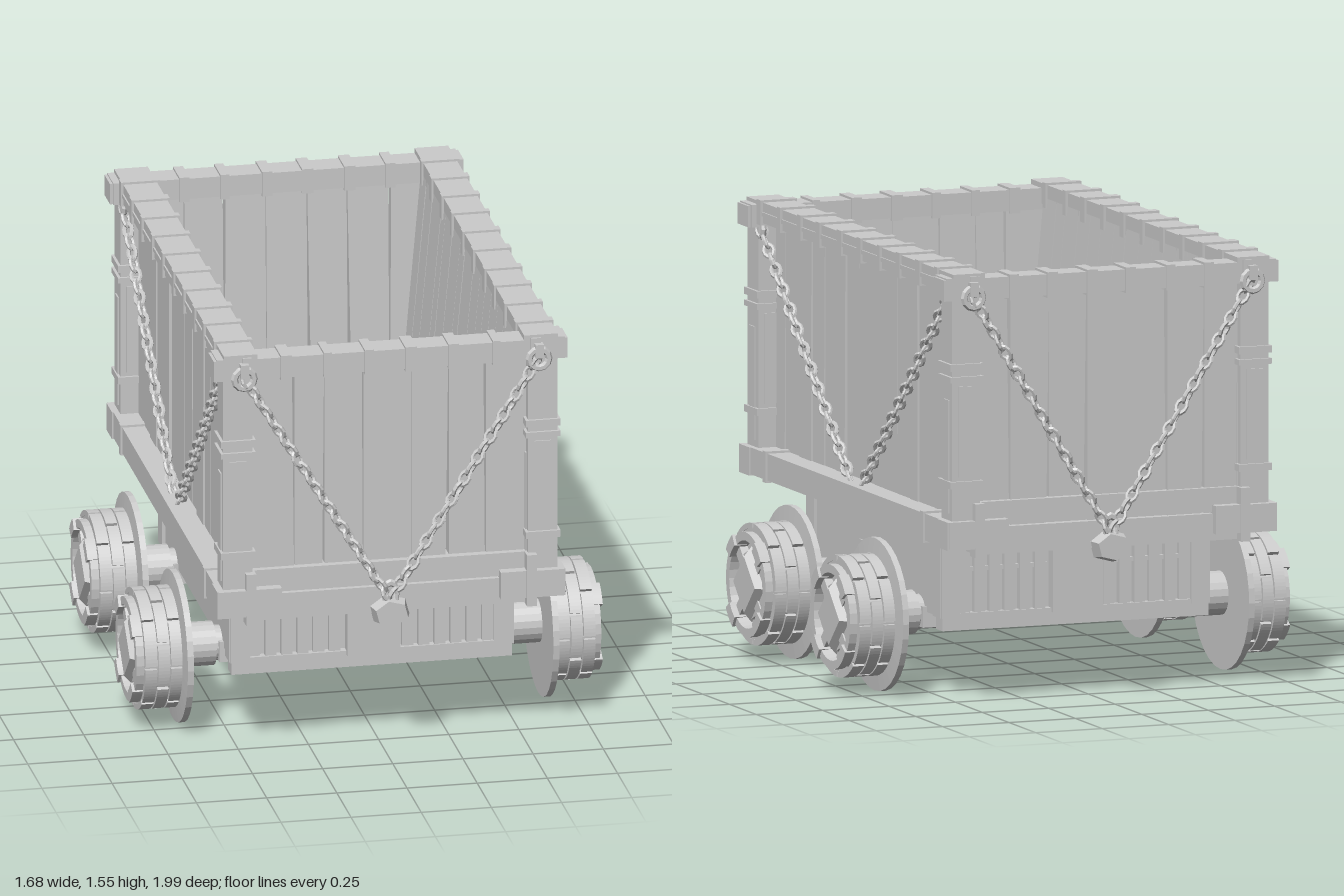
import * as THREE from 'three';
import { mergeGeometries } from 'three/addons/utils/BufferGeometryUtils.js';

const mat = new THREE.MeshStandardMaterial({ color: 0xcccccc, flatShading: true });
let seed = 7;
const rnd = () => (seed = (seed * 16807) % 2147483647) / 2147483647;

function add(parent, name, geo) {
  const m = new THREE.Mesh(geo, mat);
  m.name = name;
  parent.add(m);
  return m;
}
function group(parent, name) {
  const g = new THREE.Group();
  g.name = name;
  parent.add(g);
  return g;
}
// Box given by its limits on each axis
function box(x0, x1, y0, y1, z0, z1) {
  return new THREE.BoxGeometry(x1 - x0, y1 - y0, z1 - z0)
    .translate((x0 + x1) / 2, (y0 + y1) / 2, (z0 + z1) / 2);
}

// Row of upright planks, thicker at the foot, with uneven seams
function plankWall(parent, half, n, y0, y1, outer, innerTop, innerFoot) {
  const g = group(parent, 'plankWall');
  const edges = [];
  for (let i = 0; i <= n; i++) {
    const wob = i === 0 || i === n ? 0 : 0.4;
    edges.push(-half + (2 * half * (i + (rnd() - 0.5) * wob)) / n);
  }
  for (let i = 0; i < n; i++) {
    const taper = rnd() * 0.012, push = rnd() * 0.014;
    const geo = box(edges[i] + 0.001, edges[i + 1] - 0.001, y0, y1, innerTop, outer - push);
    const p = geo.attributes.position, mid = (edges[i] + edges[i + 1]) / 2, up = rnd() > 0.5;
    for (let k = 0; k < p.count; k++) {
      const top = p.getY(k) > (y0 + y1) / 2;
      if (top === up && p.getX(k) > mid) p.setX(k, p.getX(k) - taper);
      if (!top && p.getZ(k) < innerTop + 0.001) p.setZ(k, innerFoot);
    }
    geo.computeVertexNormals();
    add(g, 'plank', geo);
  }
}

// Beam along x with thin bands wrapped round it
function bandedBeam(parent, name, half, y0, y1, z0, z1, bands) {
  const g = group(parent, name);
  add(g, 'beam', box(-half, half, y0, y1, z0, z1));
  const e = 0.008;
  for (let i = 0; i < bands; i++) {
    const x = -half + (2 * half * (i + 0.7 + rnd() * 0.1)) / (bands + 0.5);
    const w = 0.013 + rnd() * 0.008;
    add(g, 'band', box(x - w, x + w, y0 - e, y1 + e, z0 - e, z1 + e));
  }
}

// Chain of alternating oval links from a to b
const link = new THREE.TorusGeometry(0.018, 0.0075, 6, 10).scale(1.4, 1, 1);
function chain(parent, a, b) {
  const dir = b.clone().sub(a), n = Math.round(dir.length() / 0.044);
  dir.normalize();
  const v = new THREE.Vector3(0, 0, 1).cross(dir).normalize();
  const basis = new THREE.Matrix4().makeBasis(dir, v, dir.clone().cross(v));
  const links = [];
  for (let i = 0; i <= n; i++) {
    const c = a.clone().lerp(b, i / n);
    links.push(link.clone().rotateX((i % 2 ? 1 : -1) * Math.PI / 4 + (rnd() - 0.5) * 0.4)
      .applyMatrix4(basis).translate(c.x, c.y, c.z));
  }
  add(parent, 'chain', mergeGeometries(links));
}

// Curved block between two radii, extruded along z
function arcBlock(r0, r1, a0, a1, z0, z1) {
  const s = new THREE.Shape();
  s.absarc(0, 0, r1, a0, a1, false);
  s.absarc(0, 0, r0, a1, a0, true);
  return new THREE.ExtrudeGeometry(s, { depth: z1 - z0, bevelEnabled: false, curveSegments: 6 })
    .translate(0, 0, z0);
}

// Flanged wheel, axis along z, outer face towards +z
function wheel(parent) {
  const g = group(parent, 'wheel');
  const profile = [[0, 0.64], [0.27, 0.64], [0.27, 0.662], [0.2, 0.668], [0.2, 0.80], [0.185, 0.80],
    [0.185, 0.828], [0.155, 0.828], [0.15, 0.785], [0, 0.785]];
  add(g, 'rim', new THREE.LatheGeometry(profile.map(p => new THREE.Vector2(...p)), 32).rotateX(Math.PI / 2));
  // staggered tread plates
  [[0.67, 0.71], [0.715, 0.755], [0.76, 0.802]].forEach(([z0, z1], row) => {
    for (let i = 0; i < 8; i++) {
      const a = ((i + row * 0.5) * Math.PI) / 4;
      add(g, 'treadPlate', arcBlock(0.195, 0.215, a + 0.03, a + Math.PI / 4 - 0.03, z0, z1));
    }
  });
  // rim clamps and spokes
  for (let i = 0; i < 4; i++) {
    const a = Math.PI / 4 + (i * Math.PI) / 2;
    add(g, 'rimClamp', arcBlock(0.15, 0.192, a - 0.22, a + 0.22, 0.79, 0.838));
    add(g, 'spoke', box(0.08, 0.16, -0.022, 0.022, 0.78, 0.815).rotateZ(a));
  }
  // diamond hub cap
  add(g, 'hub', new THREE.CylinderGeometry(0.125, 0.125, 0.03, 8).rotateX(Math.PI / 2).translate(0, 0, 0.795));
  add(g, 'hubCap', new THREE.CylinderGeometry(0.1, 0.135, 0.03, 4).rotateX(Math.PI / 2).translate(0, 0, 0.82));
  // axle stub and collar
  add(g, 'axleStub', new THREE.CylinderGeometry(0.062, 0.062, 0.2, 20).rotateX(Math.PI / 2).translate(0, 0, 0.52));
  add(g, 'axleCollar', new THREE.CylinderGeometry(0.078, 0.078, 0.13, 20).rotateX(Math.PI / 2).translate(0, 0, 0.585));
  return g;
}

// Front or back of the cart, facing +z
function endSide(parent) {
  const g = group(parent, 'endSide');
  plankWall(g, 0.5, 7, 0.6, 1.5, 0.925, 0.87, 0.84);
  bandedBeam(g, 'endRail', 0.63, 1.455, 1.53, 0.865, 0.965, 8);
  add(g, 'endSill', box(-0.5, 0.5, 0.55, 0.645, 0.85, 0.945));
  add(g, 'endSillBoard', box(-0.5, 0.5, 0.65, 0.735, 0.86, 0.94));
  for (const s of [-1, 1]) {
    add(g, 'sillBlock', box(-0.115, 0.115, 0.575, 0.675, 0.88, 0.975).translate(s * 0.505, 0, 0));
    add(g, 'sillStrap', box(-0.018, 0.018, 0.545, 0.735, 0.93, 0.982).translate(s * 0.5, 0, 0));
    add(g, 'eyeBolt', new THREE.TorusGeometry(0.035, 0.013, 6, 12).translate(s * 0.525, 1.465, 0.98));
    add(g, 'boltPin', box(-0.015, 0.015, 1.47, 1.52, 0.95, 0.995).translate(s * 0.525, 0, 0));
    chain(g, new THREE.Vector3(s * 0.515, 1.45, 0.975), new THREE.Vector3(s * 0.012, 0.62, 0.96));
  }
  add(g, 'chainLoop', new THREE.TorusGeometry(0.03, 0.01, 6, 12).scale(0.8, 1.4, 1).translate(0, 0.62, 0.96));
  add(g, 'chainWeight', new THREE.CylinderGeometry(0.06, 0.075, 0.05, 6).rotateX(Math.PI / 2)
    .rotateZ(0.2).scale(1, 0.8, 1).translate(0, 0.555, 0.965));
  // slatted end of the undercarriage
  const u = group(g, 'slattedEnd');
  add(u, 'backBoard', box(-0.49, 0.49, 0.29, 0.56, 0.57, 0.6));
  add(u, 'bottomRail', box(-0.5, 0.5, 0.235, 0.295, 0.57, 0.63));
  add(u, 'centrePanel', box(-0.09, 0.1, 0.28, 0.56, 0.6, 0.645));
  for (const s of [-1, 1]) {
    add(u, 'endPost', box(-0.035, 0.035, 0.28, 0.56, 0.57, 0.635).translate(s * 0.47, 0, 0));
    add(u, 'crossStrip', box(-0.17, 0.17, 0.44, 0.455, 0.6, 0.615).translate(s * 0.27, 0, 0));
    for (let i = 0; i < 6; i++) {
      const x = s * (0.13 + i * 0.057);
      add(u, 'slat', box(x - 0.02, x + 0.02, 0.29, 0.55 - rnd() * 0.02, 0.59, 0.618 + rnd() * 0.008));
    }
  }
  bandedBeam(g, 'axleBeam', 0.51, 0.225, 0.3, 0.33, 0.47, 8);
  return g;
}

// Long side of the cart, facing +z before turning
function longSide(parent) {
  const g = group(parent, 'longSide');
  plankWall(g, 0.855, 15, 0.6, 1.5, 0.54, 0.475, 0.395);
  bandedBeam(g, 'sideRail', 0.965, 1.475, 1.548, 0.475, 0.595, 10);
  add(g, 'railStrip', box(-0.95, 0.95, 1.5, 1.515, 0.59, 0.6));
  add(g, 'sideSill', box(-0.98, 0.98, 0.58, 0.675, 0.5, 0.615));
  add(g, 'chassisSide', box(-0.625, 0.625, 0.28, 0.58, 0.44, 0.495));
  add(g, 'chassisStrip', box(-0.15, 0.15, 0.44, 0.45, 0.49, 0.5));
  for (const s of [-1, 1]) {
    add(g, 'sillStrap', box(-0.015, 0.015, 0.572, 0.683, 0.5, 0.622).translate(s * 0.735, 0, 0));
    add(g, 'chassisPost', box(-0.035, 0.035, 0.28, 0.58, 0.44, 0.507).translate(s * 0.59, 0, 0));
    add(g, 'cornerPlate', box(-0.055, 0.055, 1.455, 1.535, 0.59, 0.62).translate(s * 0.91, 0, 0));
    add(g, 'chainRing', new THREE.TorusGeometry(0.03, 0.011, 6, 12).translate(s * 0.86, 1.45, 0.585));
    chain(g, new THREE.Vector3(s * 0.86, 1.44, 0.58), new THREE.Vector3(s * 0.06, 0.68, 0.57));
    const w = wheel(g);
    w.position.set(s * 0.395, 0.272, 0);
  }
  return g;
}

export function createModel() {
  const cart = new THREE.Group();
  cart.name = 'mineCart';
  for (const turn of [0, Math.PI]) {
    endSide(cart).rotation.y = turn;
    longSide(cart).rotation.y = turn + Math.PI / 2;
  }

  // corner posts with bands
  for (const sx of [-1, 1]) for (const sz of [-1, 1]) {
    const g = group(cart, 'cornerPost');
    add(g, 'post', box(-0.052, 0.052, 0.62, 1.47, -0.05, 0.05));
    for (const [y0, y1] of [[0.79, 0.815], [1.165, 1.185], [1.205, 1.23]])
      add(g, 'postBand', box(-0.062, 0.062, y0, y1, -0.06, 0.06));
    add(g, 'postFace', box(-0.03, 0.03, 0.83, 1.15, -0.055, 0.055));
    add(g, 'postSide', box(-0.057, 0.057, 0.7, 1.1, -0.025, 0.025));
    g.position.set(sx * 0.543, 0, sz * 0.905);
  }

  // floor planks, uneven widths
  const floor = group(cart, 'floor');
  let z = -0.9;
  while (z < 0.9) {
    const w = Math.min(0.1 + rnd() * 0.05, 0.9 - z);
    add(floor, 'floorPlank', box(-0.5, 0.5, 0.575, 0.62 + rnd() * 0.01, z + 0.002, z + w - 0.002));
    z += w;
  }
  add(floor, 'deck', box(-0.5, 0.5, 0.555, 0.6, -0.86, 0.86));

  // boards closing the underside
  const under = group(cart, 'underside');
  add(under, 'underBoard', box(-0.46, 0.46, 0.32, 0.34, -0.58, 0.58));
  for (let i = 0; i < 10; i++) {
    const c = -0.52 + i * 0.1155;
    add(under, 'underPlank', box(-0.46, 0.46, 0.3, 0.325 - rnd() * 0.01, c - 0.052, c + 0.052));
  }
  for (const x of [-0.25, 0, 0.25])
    add(under, 'underRunner', box(x - 0.04, x + 0.04, 0.285, 0.32, -0.57, 0.57));
  return cart;
}
